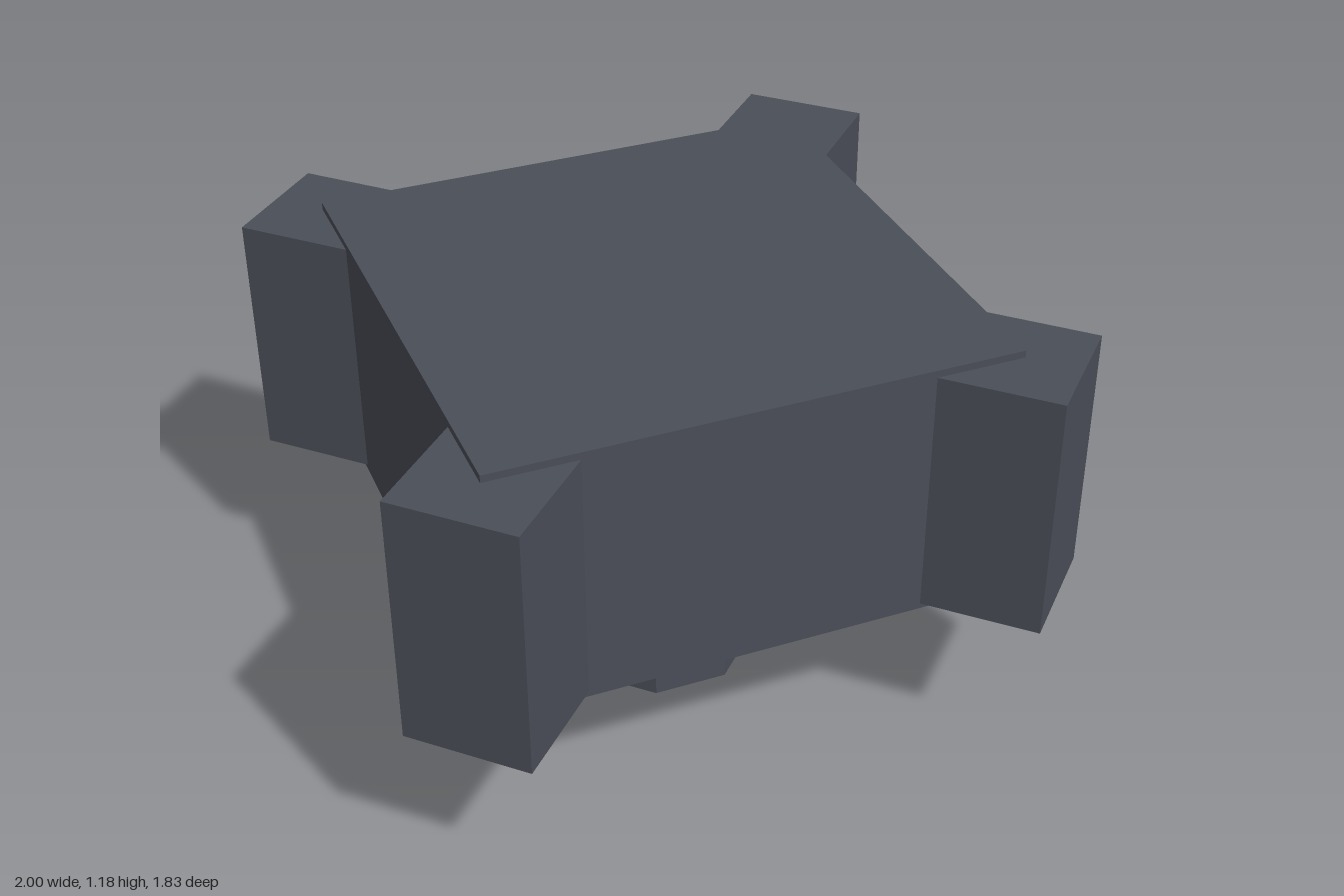
import * as THREE from 'three';

const CX = -0.085; // centre of the tower body on x

export function createModel() {
  const group = new THREE.Group();
  const slate = new THREE.MeshStandardMaterial({ color: 0x4a4e58 });
  slate.name = 'slate grey';
  const rust = new THREE.MeshStandardMaterial({ color: 0x6e4a45 });
  rust.name = 'rust brown';

  const add = (name, geometry, material, x, y, z) => {
    const mesh = new THREE.Mesh(geometry, material);
    mesh.name = name;
    mesh.position.set(x, y, z);
    group.add(mesh);
    return mesh;
  };

  // Main block
  add('body', new THREE.BoxGeometry(1.38, 0.72, 1.383), slate, CX, 0.82, 0);

  // Square pillars turned 45 degrees on the corners
  for (const sx of [-1, 1]) {
    for (const sz of [-1, 1]) {
      const pillar = add('cornerPillar', new THREE.BoxGeometry(0.34, 0.685, 0.34), slate,
        CX + sx * 0.674, 0.8175, sz * 0.674);
      pillar.rotation.y = Math.PI / 4;
    }
  }

  // Octagonal stem with flat sides facing front, and a coloured underside
  const stem = new THREE.CylinderGeometry(0.268, 0.268, 0.47, 8, 1, false, Math.PI / 8).toNonIndexed();
  stem.computeVertexNormals();
  add('stem', stem, [slate, slate, rust], CX, 0.235, 0);

  // Side ledge: thin top and bottom plates around a core with nipped end corners
  for (const y of [0.465, 0.645]) {
    add('ledgePlate', new THREE.BoxGeometry(0.42, 0.01, 0.406), slate, 0.79, y, 0);
  }
  const outline = new THREE.Shape([
    [0.58, -0.203], [0.985, -0.203], [1, -0.196], [1, 0.196], [0.985, 0.203], [0.58, 0.203],
  ].map(([x, z]) => new THREE.Vector2(x, z)));
  const core = new THREE.ExtrudeGeometry(outline, { depth: 0.17, bevelEnabled: false });
  core.rotateX(-Math.PI / 2);
  add('ledgeCore', core, slate, 0, 0.47, 0);

  return group;
}
